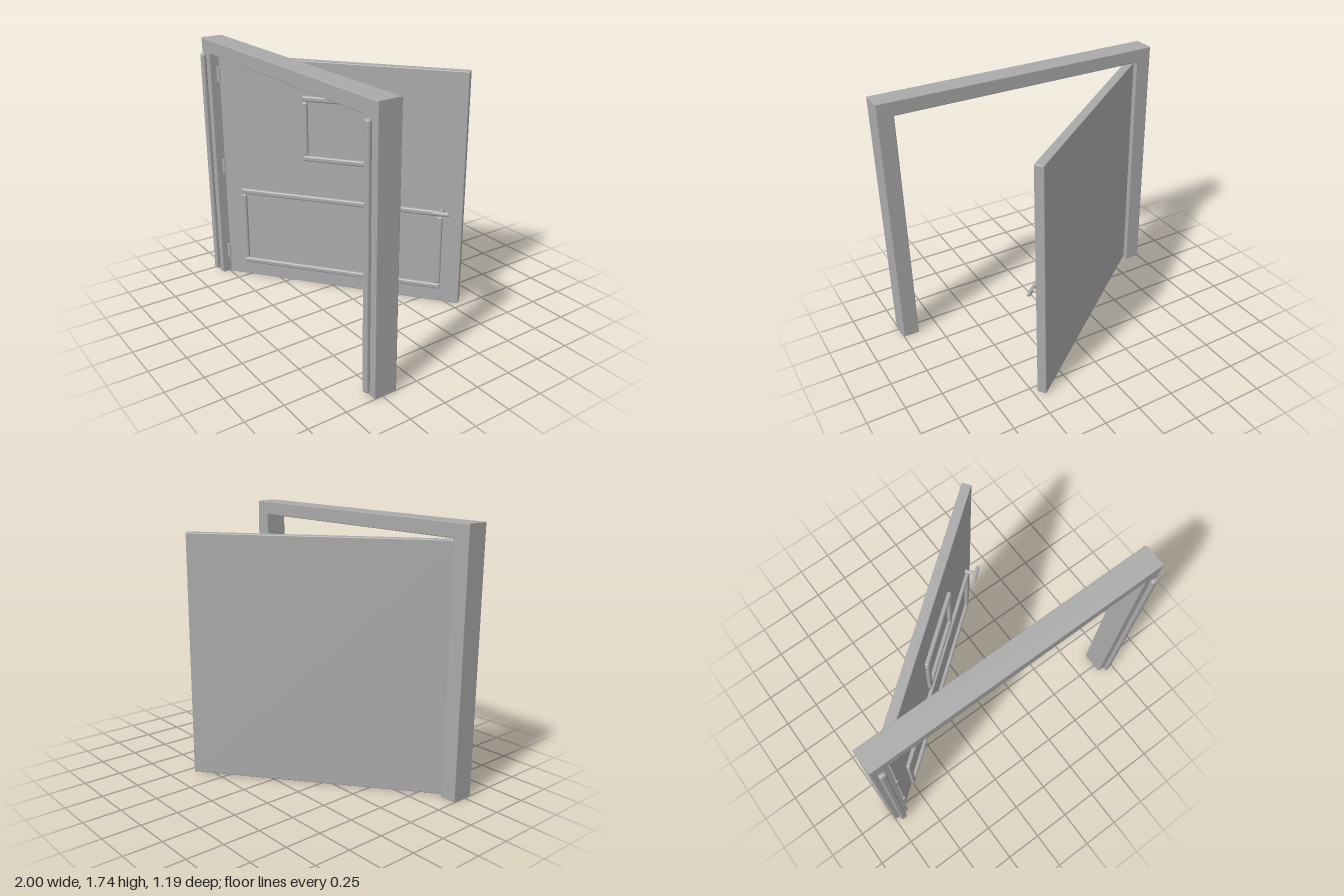
import * as THREE from 'three';
import { RoundedBoxGeometry } from 'three/addons/geometries/RoundedBoxGeometry.js';

const grey = new THREE.MeshStandardMaterial({ color: 0xaaaaaa });
grey.name = 'plain grey';

// Box with rounded edges, centred on (x, y, z)
function bar(parent, name, w, h, d, x, y, z, radius = 0.012) {
  const mesh = new THREE.Mesh(new RoundedBoxGeometry(w, h, d, 3, radius), grey);
  mesh.name = name;
  mesh.position.set(x, y, z);
  parent.add(mesh);
  return mesh;
}

// Rectangular moulding: full-width rails with stiles between them
function moulding(name, width, bottom, top, x, z) {
  const group = new THREE.Group();
  group.name = name;
  const size = 0.038, depth = 0.028;
  for (const y of [bottom + size / 2, top - size / 2])
    bar(group, name + 'Rail', width, size, depth, x, y, z);
  for (const side of [-1, 1])
    bar(group, name + 'Stile', size, top - bottom - 2 * size - 0.006, depth,
      x + side * (width - size) / 2, (bottom + top) / 2, z);
  return group;
}

export function createModel() {
  const model = new THREE.Group();
  model.name = 'openDoor';

  // Door frame: one U-shaped piece with slightly eased edges
  const b = 0.005;
  const outline = new THREE.Shape([
    [-1 + b, b], [-0.89 - b, b], [-0.89 - b, 1.645 + b], [0.89 + b, 1.645 + b],
    [0.89 + b, b], [1 - b, b], [1 - b, 1.74 - b], [-1 + b, 1.74 - b],
  ].map(([x, y]) => new THREE.Vector2(x, y)));
  const frame = new THREE.Mesh(new THREE.ExtrudeGeometry(outline, {
    depth: 0.155 - 2 * b, bevelEnabled: true, bevelSize: b, bevelThickness: b, bevelSegments: 2,
  }), grey);
  frame.name = 'doorFrame';
  frame.position.z = 0.4 + b;
  model.add(frame);

  // Trim strips on the front of both posts
  for (const side of [-1, 1])
    bar(model, 'postTrim', 0.045, 1.615, 0.032, side * 0.943, 0.835, 0.575, 0.014);

  // Hinges
  for (const y of [0.17, 0.833, 1.5]) {
    const hinge = new THREE.Mesh(new THREE.CylinderGeometry(0.016, 0.016, 0.1, 16), grey);
    hinge.name = 'hinge';
    hinge.position.set(-0.88, y, 0.497);
    model.add(hinge);
  }

  // Door swung backwards; local x runs from hinge to free edge, front face at z = 0
  const door = new THREE.Group();
  door.name = 'door';
  door.position.set(-0.87, 0, 0.5);
  door.rotation.y = THREE.MathUtils.degToRad(38);
  model.add(door);

  const width = 1.706;
  bar(door, 'doorLeaf', width, 1.628, 0.062, width / 2, 0.819, -0.031, 0.006);
  door.add(moulding('windowMoulding', 0.49, 0.952, 1.407, width / 2, 0.034));
  door.add(moulding('lowerPanelMoulding', 1.45, 0.112, 0.69, width / 2, 0.018));

  // Lever handle on a short stem
  const stem = new THREE.Mesh(new THREE.CylinderGeometry(0.013, 0.013, 0.08, 20), grey);
  stem.name = 'handleStem';
  stem.rotation.x = Math.PI / 2;
  stem.position.set(1.573, 0.695, 0.04);
  door.add(stem);
  bar(door, 'handleLever', 0.122, 0.03, 0.026, 1.573, 0.695, 0.08);

  return model;
}
